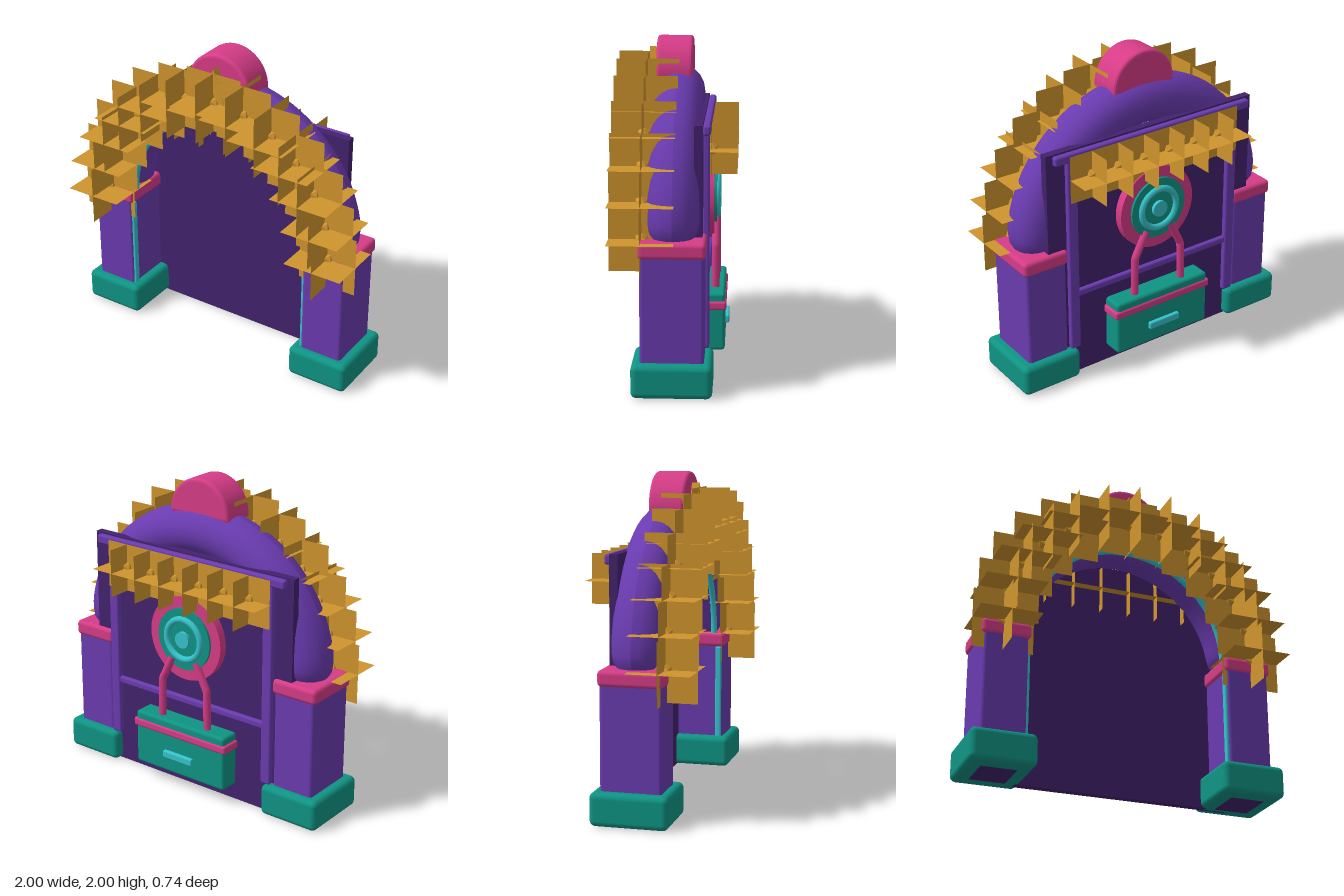
import * as THREE from 'three';
import { RoundedBoxGeometry } from 'three/addons/geometries/RoundedBoxGeometry.js';

const mat = (name, color, side = THREE.FrontSide) => {
  const m = new THREE.MeshStandardMaterial({ color, side });
  m.name = name;
  return m;
};

export function createModel() {
  const purple = mat('purple', 0x6a3bb0);
  const dark = mat('darkPurple', 0x43226e);
  const pink = mat('pink', 0xd63c87);
  const green = mat('teal', 0x0f9484);
  const cyan = mat('cyan', 0x36c3cc);
  const gold = mat('gold', 0xcf942d, THREE.DoubleSide);
  const model = new THREE.Group();
  model.name = 'carnivalArch';

  const add = (name, geo, material, x = 0, y = 0, z = 0, parent = model) => {
    const m = new THREE.Mesh(geo, material);
    m.name = name;
    m.position.set(x, y, z);
    parent.add(m);
    return m;
  };
  const box = (name, material, w, h, d, x, y, z, r = 0.015) =>
    add(name, new RoundedBoxGeometry(w, h, d, 3, r), material, x, y, z);

  // Pillars with plinth, capital and light strip
  for (const s of [-1, 1]) {
    box('plinth', green, 0.405, 0.2, 0.47, s * 0.787, 0.1, 0, 0.035);
    add('plinthFoot', new THREE.BoxGeometry(0.22, 0.006, 0.25), dark, s * 0.787, 0.0025, 0);
    box('pillar', purple, 0.28, 0.66, 0.37, s * 0.787, 0.51, 0, 0.02);
    box('capital', pink, 0.31, 0.095, 0.39, s * 0.787, 0.857, 0, 0.025);
    box('pillarStrip', cyan, 0.04, 0.62, 0.04, s * 0.653, 0.5, 0.155, 0.01);
  }

  // Arch tube, with its two ends slightly drawn in
  const R = 0.765, tube = 0.155;
  const archGeo = new THREE.TorusGeometry(R, tube, 20, 64, Math.PI);
  const p = archGeo.attributes.position;
  for (let i = 0; i < p.count; i++) {
    const x = p.getX(i), y = p.getY(i), r = Math.hypot(x, y), a = Math.atan2(y, x);
    const t = Math.min(1, Math.min(Math.abs(a), Math.PI - Math.abs(a)) / 0.2);
    const k = 0.75 + 0.25 * Math.sqrt(1 - (1 - t) ** 2);
    const nr = R + (r - R) * k;
    p.setXYZ(i, Math.cos(a) * nr, Math.sin(a) * nr, p.getZ(i) * k);
  }
  archGeo.computeVertexNormals();
  add('arch', archGeo, purple, 0, 0.895, 0);
  add('archTrim', new THREE.TorusGeometry(0.645, 0.02, 8, 48, Math.PI), cyan, 0, 0.9, 0.125);

  // Back panel and its frame
  add('backPanel', new THREE.BoxGeometry(1.52, 1.55, 0.05), dark, 0, 0.775, -0.145);
  for (const s of [-1, 1]) box('framePost', purple, 0.07, 1.33, 0.04, s * 0.6, 0.865, -0.187, 0.012);
  box('frameTopRail', purple, 1.44, 0.06, 0.045, 0, 1.515, -0.192);
  box('frameMidRail', purple, 1.16, 0.045, 0.035, 0, 0.58, -0.182, 0.012);

  // Bulbs, each with three crossed square glow plates
  const bulbGeo = new THREE.IcosahedronGeometry(0.04, 0);
  const bulb = (name, x, y, z, size) => {
    const g = new THREE.Group();
    g.name = name;
    g.position.set(x, y, z);
    model.add(g);
    add('bulb', bulbGeo, gold, 0, 0, 0, g);
    const plate = new THREE.PlaneGeometry(size, size);
    add('glowFront', plate, gold, 0, 0, 0, g);
    add('glowSide', plate, gold, 0, 0, 0, g).rotation.y = Math.PI / 2;
    add('glowFlat', plate, gold, 0, 0, 0, g).rotation.x = -Math.PI / 2;
  };
  for (let i = 0; i <= 12; i++) {
    const a = (i / 12) * Math.PI;
    bulb('archBulb', 0.81 * Math.cos(a), 0.902 + 0.81 * Math.sin(a), 0.178, 0.38);
  }
  for (let i = 0; i < 6; i++) bulb('backBulb', (i - 2.5) * 0.188, 1.375, -0.215, 0.305);

  // Crown: half disc with a star
  const half = new THREE.Shape();
  half.absarc(0, 0, 0.2, 0, Math.PI, false);
  half.closePath();
  add('crown', new THREE.ExtrudeGeometry(half, {
    depth: 0.18, bevelThickness: 0.02, bevelSize: 0.02, bevelSegments: 3, curveSegments: 32,
  }), pink, 0, 1.78, -0.07);
  const star = new THREE.Shape();
  for (let i = 0; i < 10; i++) {
    const r = i % 2 ? 0.065 : 0.145, a = Math.PI / 2 + (i * Math.PI) / 5;
    star[i ? 'lineTo' : 'moveTo'](r * Math.cos(a), r * Math.sin(a));
  }
  star.closePath();
  add('crownStar', new THREE.ExtrudeGeometry(star, { depth: 0.05, bevelEnabled: false }),
    gold, 0, 1.785, 0.13);

  // Round dial on the back
  const disc = (name, material, r, z0, z1) => {
    add(name, new THREE.CylinderGeometry(r, r, z0 - z1, 40), material, 0, 1.015, (z0 + z1) / 2)
      .rotation.x = Math.PI / 2;
  };
  disc('dialRim', pink, 0.272, -0.165, -0.225);
  disc('dialFace', green, 0.2, -0.2, -0.24);
  disc('dialHub', cyan, 0.052, -0.22, -0.262);
  add('dialRing', new THREE.TorusGeometry(0.13, 0.021, 10, 40), cyan, 0, 1.015, -0.242);

  // Bent arms from dial to cabinet
  for (const s of [-1, 1]) {
    const path = new THREE.CurvePath();
    const pts = [[0.09, 0.88], [0.175, 0.71], [0.18, 0.44]]
      .map(([x, y]) => new THREE.Vector3(s * x, y, -0.235));
    path.add(new THREE.LineCurve3(pts[0], pts[1]));
    path.add(new THREE.LineCurve3(pts[1], pts[2]));
    add('arm', new THREE.TubeGeometry(path, 24, 0.025, 10), pink);
  }

  // Cabinet with band and handle
  box('cabinet', green, 0.7, 0.36, 0.15, 0, 0.28, -0.221, 0.02);
  box('cabinetBand', pink, 0.73, 0.055, 0.16, 0, 0.383, -0.224, 0.015);
  box('cabinetHandle', cyan, 0.23, 0.05, 0.03, 0, 0.23, -0.305, 0.01);

  return model;
}
